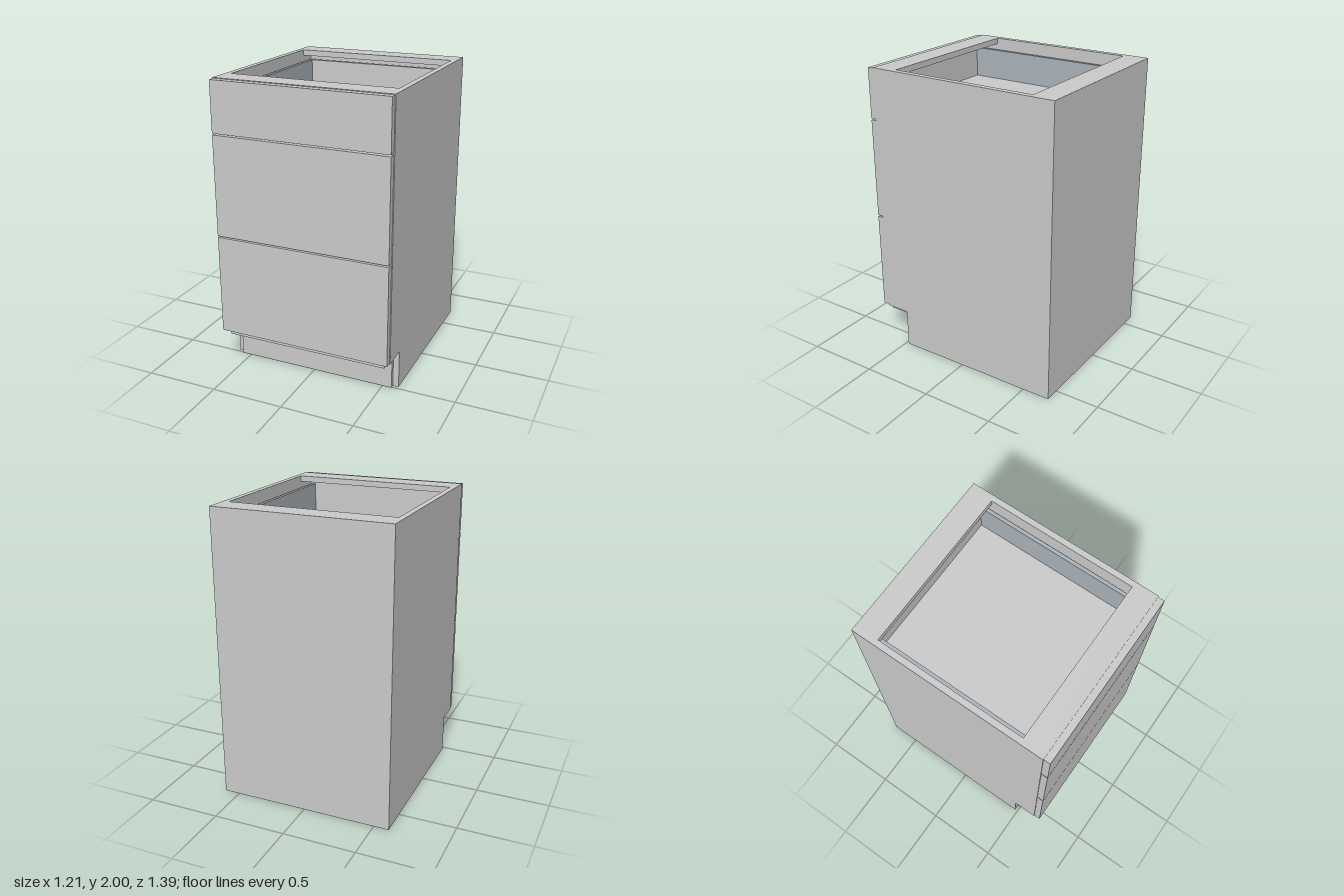
import * as THREE from 'three';

const grey = new THREE.MeshStandardMaterial({ color: 0xcccccc });
const steel = new THREE.MeshStandardMaterial({ color: 0xabb4bb });

const W = 0.605, T = 0.04, IN = W - T;   // half width, board thickness, inner half width
const BACK = -0.695, FRONT = 0.65;       // carcass depth range
const KICK_Y = 0.265, KICK_Z = 0.48;     // toe-kick notch

// Box given by its min and max on each axis
function board(name, [x0, x1], [y0, y1], [z0, z1], material = grey) {
  const mesh = new THREE.Mesh(new THREE.BoxGeometry(x1 - x0, y1 - y0, z1 - z0), material);
  mesh.position.set((x0 + x1) / 2, (y0 + y1) / 2, (z0 + z1) / 2);
  mesh.name = name;
  return mesh;
}

// Side panel with the toe-kick notch cut from its lower front corner
function sidePanel(name, x) {
  const outline = [[BACK, 0], [KICK_Z, 0], [KICK_Z, KICK_Y], [FRONT, KICK_Y], [FRONT, 2], [BACK, 2]];
  const shape = new THREE.Shape(outline.map(([z, y]) => new THREE.Vector2(-z, y)));
  const geometry = new THREE.ExtrudeGeometry(shape, { depth: T, bevelEnabled: false });
  geometry.rotateY(Math.PI / 2);
  const mesh = new THREE.Mesh(geometry, grey);
  mesh.position.x = x;
  mesh.name = name;
  return mesh;
}

// Drawer: front slab, steel sides, floor and back
function drawer(name, y0, y1) {
  const group = new THREE.Group();
  group.name = name;
  const floor = y0 + 0.055, top = y1 - 0.075;
  group.add(board('drawerFront', [-0.6, 0.6], [y0, y1], [FRONT, 0.695]));
  for (const s of [-1, 1]) {
    const xs = [s * 0.525, s * 0.55].sort((a, b) => a - b);
    group.add(board(s > 0 ? 'leftDrawerSide' : 'rightDrawerSide', xs, [floor - 0.03, top], [-0.62, FRONT], steel));
  }
  group.add(board('drawerFloor', [-0.525, 0.525], [floor - 0.03, floor], [-0.62, FRONT]));
  group.add(board('drawerBack', [-0.525, 0.525], [floor, top], [-0.62, -0.59]));
  return group;
}

export function createModel() {
  const cabinet = new THREE.Group();
  cabinet.name = 'drawerCabinet';

  // Carcass
  cabinet.add(sidePanel('leftSide', IN), sidePanel('rightSide', -W));
  cabinet.add(board('backPanel', [-IN, IN], [0, 2], [BACK, BACK + T]));
  cabinet.add(board('bottomPanel', [-IN, IN], [KICK_Y - T, KICK_Y], [BACK + T, FRONT]));
  cabinet.add(board('toeKick', [-IN, IN], [0, KICK_Y - T], [0.467, 0.507]));

  // Top rails
  cabinet.add(board('rearTopRail', [-IN, IN], [2 - T, 2], [BACK + T, -0.53]));
  cabinet.add(board('frontTopRail', [-IN, IN], [2 - T, 2], [0.49, FRONT]));

  // Drawers
  cabinet.add(drawer('bottomDrawer', 0.27, 0.953));
  cabinet.add(drawer('middleDrawer', 0.963, 1.645));
  cabinet.add(drawer('topDrawer', 1.655, 1.995));

  return cabinet;
}
